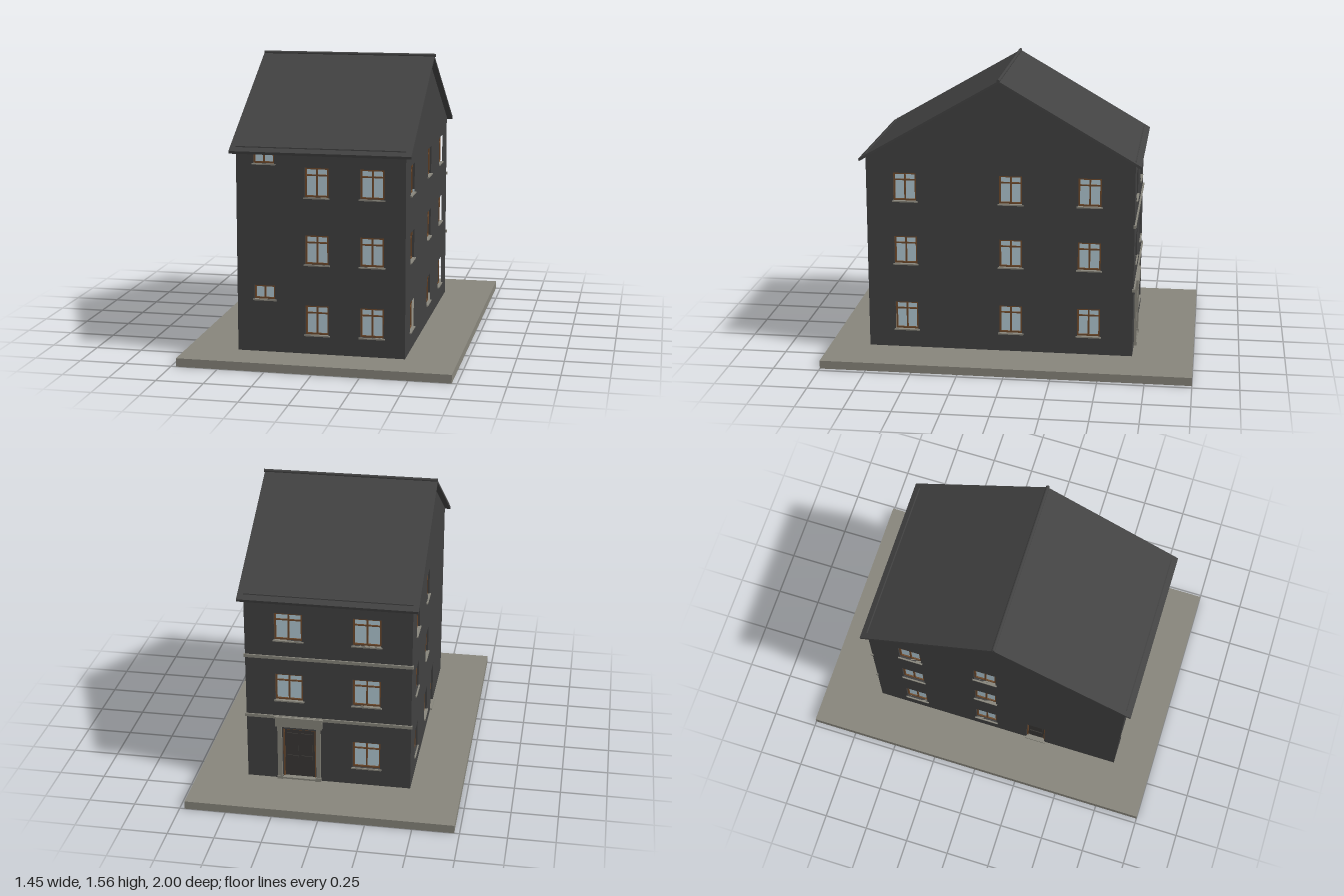
import * as THREE from 'three';

const mat = (name, color, side = THREE.FrontSide) => {
  const m = new THREE.MeshStandardMaterial({ color, side });
  m.name = name;
  return m;
};

export function createModel() {
  const render = mat('dark wall render', 0x414141);
  const roofing = mat('dark roof sheet', 0x424242);
  const stone = mat('grey stone', 0x87857b);
  const wood = mat('brown wood', 0x6e4a2c);
  const glass = mat('pale glass', 0xb2c9d3);
  const leafDark = mat('dark door', 0x393735);

  const house = new THREE.Group();
  house.name = 'house';

  const box = (parent, name, m, w, h, d, x, y, z) => {
    const mesh = new THREE.Mesh(new THREE.BoxGeometry(w, h, d), m);
    mesh.name = name;
    mesh.position.set(x, y, z);
    parent.add(mesh);
    return mesh;
  };

  const T = 0.04;        // wall thickness
  const RECESS = 0.018;  // depth of the window frames behind the wall face
  const ROWS = [[0.148, 0.305], [0.525, 0.68], [0.88, 1.035]];

  // Wooden frame around an opening, with its bars
  function frame(parent, o, bar, depth) {
    const { u, w, y0, y1 } = o, h = y1 - y0, cy = (y0 + y1) / 2;
    for (const s of [-1, 1]) {
      box(parent, 'frameSide', wood, bar, h, depth, u + s * (w - bar) / 2, cy, -RECESS);
      box(parent, 'frameRail', wood, w - 2 * bar, bar, depth, u, cy + s * (h - bar) / 2, -RECESS);
    }
  }

  // Window: glass, frame, centre bar, optional transom and a stone sill
  function addWindow(parent, o) {
    const g = new THREE.Group();
    g.name = 'window';
    const { u, w, y0, y1 } = o, h = y1 - y0, cy = (y0 + y1) / 2;
    box(g, 'glass', glass, w, h, 0.006, u, cy, -RECESS - 0.004);
    frame(g, o, 0.009, 0.014);
    box(g, 'centreBar', wood, 0.009, h - 0.018, 0.012, u, cy, -RECESS);
    if (!o.small) box(g, 'transom', wood, w - 0.018, 0.008, 0.011, u, y0 + h * 0.74, -RECESS);
    box(g, 'sill', stone, w + 0.014, 0.007, RECESS + 0.008, u, y0 - 0.0035, 0.008 - (RECESS + 0.008) / 2);
    parent.add(g);
  }

  // Door: panelled leaf, frame and a threshold
  function addDoor(parent, o) {
    const g = new THREE.Group();
    g.name = 'door';
    const { u, w, y0, y1 } = o, h = y1 - y0;
    box(g, 'doorLeaf', leafDark, w, h, 0.008, u, (y0 + y1) / 2, -RECESS - 0.003);
    frame(g, o, 0.008, 0.014);
    const columns = w > 0.15 ? [-0.25, 0.25] : [0];
    for (const c of columns) for (const r of [0.27, 0.72])
      box(g, 'doorPanel', leafDark, w * 0.7 / columns.length, h * 0.36, 0.006,
        u + c * w * 0.86, y0 + h * r, -RECESS + 0.003);
    box(g, 'threshold', stone, w + 0.01, 0.01, 0.035, u, 0.05, -0.006);
    parent.add(g);
  }

  // Wall in its own plane: outline with cut openings, outer face at local z = 0
  function addWall(name, outline, openings, x, z, turn) {
    const wall = new THREE.Group();
    wall.name = name;
    const shape = new THREE.Shape(outline.map(p => new THREE.Vector2(...p)));
    for (const { u, w, y0, y1 } of openings) {
      const a = u - w / 2, b = u + w / 2;
      shape.holes.push(new THREE.Path([[a, y0], [a, y1], [b, y1], [b, y0]].map(p => new THREE.Vector2(...p))));
    }
    const geo = new THREE.ExtrudeGeometry(shape, { depth: T, bevelEnabled: false }).translate(0, 0, -T);
    const mesh = new THREE.Mesh(geo, render);
    mesh.name = name + 'Panel';
    wall.add(mesh);
    for (const o of openings) (o.door ? addDoor : addWindow)(wall, o);
    wall.position.set(x, 0, z);
    wall.rotation.y = turn;
    house.add(wall);
    return wall;
  }

  const grid = (us, w, rows = ROWS) =>
    us.flatMap(u => rows.map(([y0, y1]) => ({ u, w, y0, y1 })));

  const HX = 0.447, ZF = 0.78, ZB = -0.67, ZR = 0.055, EAVE = 1.118, APEX = 1.541;
  const inner = HX - T;
  const flat = [[-inner, 0.03], [inner, 0.03], [inner, EAVE], [-inner, EAVE]];
  const gable = s => [[s * ZB, 0.03], [s * ZF, 0.03], [s * ZF, EAVE], [s * ZR, APEX], [s * ZB, EAVE]];

  // Ground slab
  box(house, 'groundSlab', stone, 1.445, 0.045, 2, 0, 0.0225, 0);

  // Front wall with two window columns and small stair windows
  addWall('frontWall', flat, [
    ...grid([-0.02, 0.272], 0.125),
    { u: -0.3, w: 0.112, y0: 0.328, y1: 0.403, small: true },
    { u: -0.3, w: 0.112, y0: 1.05, y1: 1.112, small: true },
  ], 0, ZF, 0);

  // Gable walls
  addWall('leftWall', gable(-1), grid([-0.57, 0.005, 0.43], 0.125), HX, 0, Math.PI / 2);
  addWall('rightWall', gable(1), [
    ...grid([-0.44, -0.01], 0.125),
    { u: 0.293, w: 0.11, y0: 0.046, y1: 0.3, door: true },
  ], -HX, 0, -Math.PI / 2);

  // Back wall with the main entrance
  const DOOR = -0.16;
  const back = addWall('backWall', flat, [
    ...grid([0.207], 0.15),
    ...grid([-0.212], 0.15, ROWS.slice(1)),
    { u: DOOR, w: 0.18, y0: 0.046, y1: 0.35, door: true },
  ], 0, ZB, Math.PI);

  // Entrance surround
  for (const s of [-1, 1]) {
    box(back, 'entrancePost', stone, 0.024, 0.325, 0.014, DOOR + s * 0.106, 0.2075, 0.006);
    box(back, 'postFoot', stone, 0.03, 0.02, 0.018, DOOR + s * 0.106, 0.055, 0.007);
  }
  box(back, 'entranceLintel', stone, 0.255, 0.05, 0.022, DOOR, 0.395, 0.008);
  box(back, 'lintelCap', stone, 0.265, 0.009, 0.026, DOOR, 0.424, 0.008);

  // String courses across the back, returning slightly past the corners
  for (const y of [0.422, 0.778])
    box(back, 'stringCourse', stone, 2 * HX + 0.014, 0.017, 0.014, 0, y, 0.001);

  // Roof: a thin folded sheet along x
  const profile = [[0.81, 1.1], [0.813, 1.114], [ZR, 1.553], [-0.703, 1.114], [-0.7, 1.1], [ZR, 1.539]];
  const roofShape = new THREE.Shape(profile.map(([z, y]) => new THREE.Vector2(-z, y)));
  const roofGeo = new THREE.ExtrudeGeometry(roofShape, { depth: 0.956, bevelEnabled: false })
    .translate(0, 0, -0.478).rotateY(Math.PI / 2);
  const roof = new THREE.Mesh(roofGeo, roofing);
  roof.name = 'roof';
  house.add(roof);

  // Ridge cap
  const ridge = new THREE.Mesh(new THREE.CylinderGeometry(0.009, 0.009, 0.961, 12).rotateZ(Math.PI / 2), roofing);
  ridge.name = 'ridgeCap';
  ridge.position.set(0.0035, 1.554, ZR);
  house.add(ridge);

  // Low snow rails just above both eaves
  for (const s of [-1, 1])
    box(house, 'snowRail', roofing, 2 * HX, 0.006, 0.006, 0, 1.134, ZR + s * 0.725);

  return house;
}
